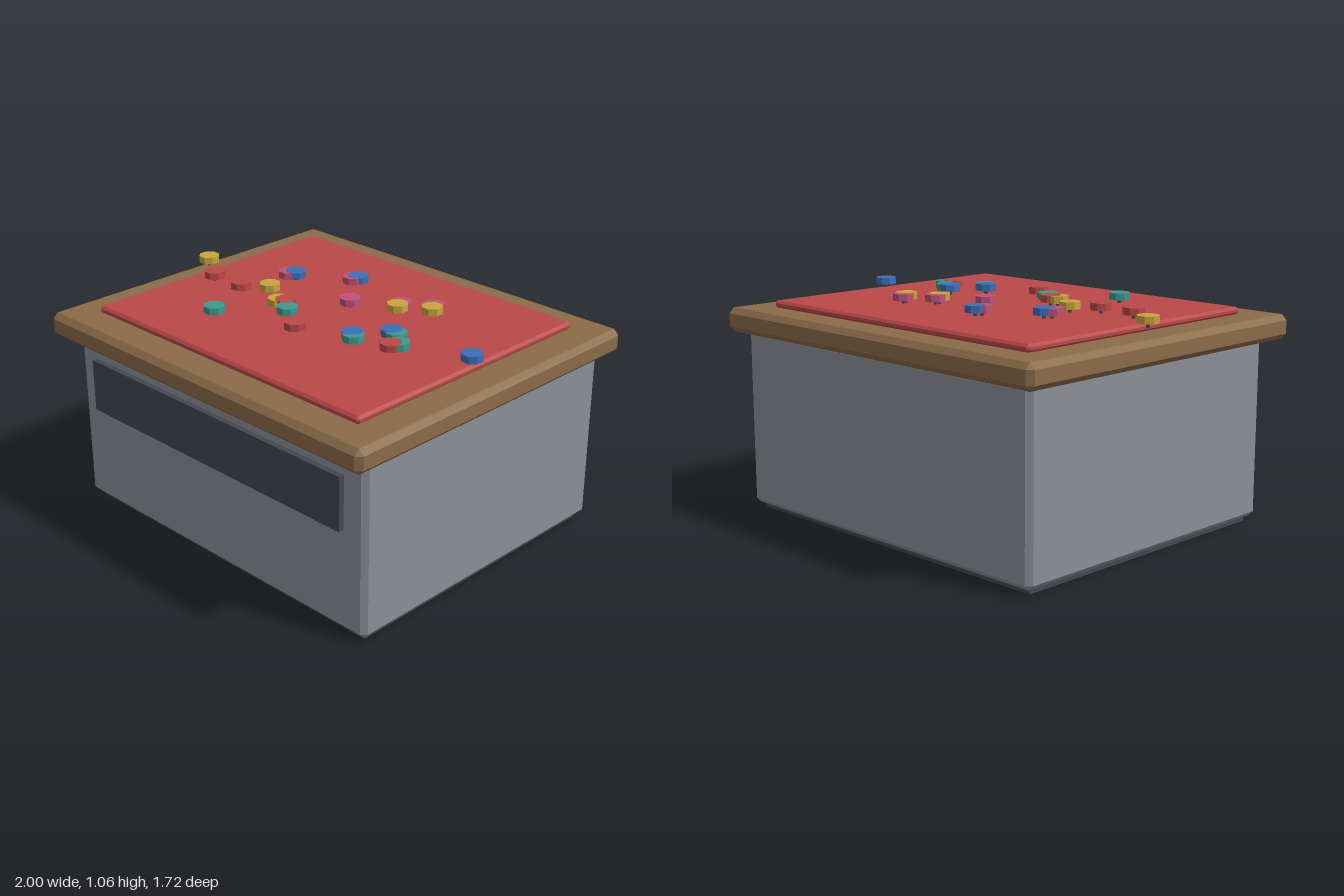
import * as THREE from 'three';
import { ConvexGeometry } from 'three/addons/geometries/ConvexGeometry.js';

const material = (name, color, flatShading = true) => {
  const m = new THREE.MeshStandardMaterial({ color, flatShading });
  m.name = name;
  return m;
};

// Box between two corners with every edge chamfered by b
function chamferBox([x0, y0, z0], [x1, y1, z1], b) {
  const half = [(x1 - x0) / 2, (y1 - y0) / 2, (z1 - z0) / 2];
  const points = [];
  for (const sx of [-1, 1]) for (const sy of [-1, 1]) for (const sz of [-1, 1]) {
    for (let full = 0; full < 3; full++) {
      const h = half.map((v, i) => (i === full ? v : v - b));
      points.push(new THREE.Vector3(sx * h[0], sy * h[1], sz * h[2]));
    }
  }
  return new ConvexGeometry(points).translate((x0 + x1) / 2, (y0 + y1) / 2, (z0 + z1) / 2);
}

function plainBox([x0, y0, z0], [x1, y1, z1]) {
  return new THREE.BoxGeometry(x1 - x0, y1 - y0, z1 - z0)
    .translate((x0 + x1) / 2, (y0 + y1) / 2, (z0 + z1) / 2);
}

export function createModel() {
  const model = new THREE.Group();
  model.name = 'counter';

  const grey = material('grey', 0x8c8f98);
  const dark = material('darkGrey', 0x444750);
  const wood = material('wood', 0x8b6b4a);
  const caps = {
    red: material('red', 0xb94848),
    teal: material('teal', 0x3c9a8e),
    blue: material('blue', 0x3a6fb7),
    yellow: material('yellow', 0xc8a43e),
    pink: material('pink', 0xc25078),
  };

  const add = (name, geometry, mat, parent = model) => {
    const mesh = new THREE.Mesh(geometry, mat);
    mesh.name = name;
    parent.add(mesh);
    return mesh;
  };

  // Cabinet
  add('base', plainBox([-0.89, 0, -0.745], [0.89, 0.04, 0.7]), dark);
  add('body', chamferBox([-0.93, 0.026, -0.79], [0.93, 0.875, 0.745], 0.024), grey);
  add('frontPanel', plainBox([-0.81, 0.515, 0.735], [0.81, 0.77, 0.772]), dark);

  // Top and cloth
  add('tableTop', chamferBox([-1, 0.865, -0.86], [1, 0.98, 0.856], 0.026), wood);
  add('cloth', chamferBox([-0.835, 0.977, -0.7], [0.835, 1.014, 0.692], 0.012), caps.red);

  // Scattered pegs: colour, x, z, later ones lie over earlier ones
  const pegs = [
    ['yellow', -0.89, -0.03], ['red', -0.705, 0.095], ['red', -0.51, 0.1],
    ['yellow', -0.395, 0.02], ['pink', -0.455, -0.16], ['blue', -0.43, -0.185],
    ['pink', -0.185, -0.325], ['blue', -0.17, -0.35], ['yellow', -0.23, 0.12],
    ['red', -0.195, 0.108], ['teal', -0.13, 0.16], ['teal', -0.37, 0.39],
    ['pink', 0, -0.12], ['red', 0.03, 0.265], ['pink', 0.2, -0.25],
    ['yellow', 0.207, -0.217], ['pink', 0.328, -0.335], ['yellow', 0.343, -0.303],
    ['teal', 0.427, 0.03], ['blue', 0.39, 0.02], ['teal', 0.312, 0.18],
    ['blue', 0.285, 0.16], ['teal', 0.508, 0.1], ['red', 0.49, 0.133],
    ['blue', 0.812, -0.027],
  ];
  const capGeometry = new THREE.CylinderGeometry(0.051, 0.051, 0.033, 8).rotateY(Math.PI / 8);
  const stemGeometry = new THREE.CylinderGeometry(0.009, 0.009, 0.03, 6);
  pegs.forEach(([color, x, z], i) => {
    const peg = new THREE.Group();
    peg.name = 'peg' + (i + 1);
    peg.position.set(x, (i % 2) * 0.001, z);
    add('cap', capGeometry, caps[color], peg).position.y = 1.047;
    add('stem', stemGeometry, dark, peg).position.y = 1.025;
    model.add(peg);
  });

  return model;
}
